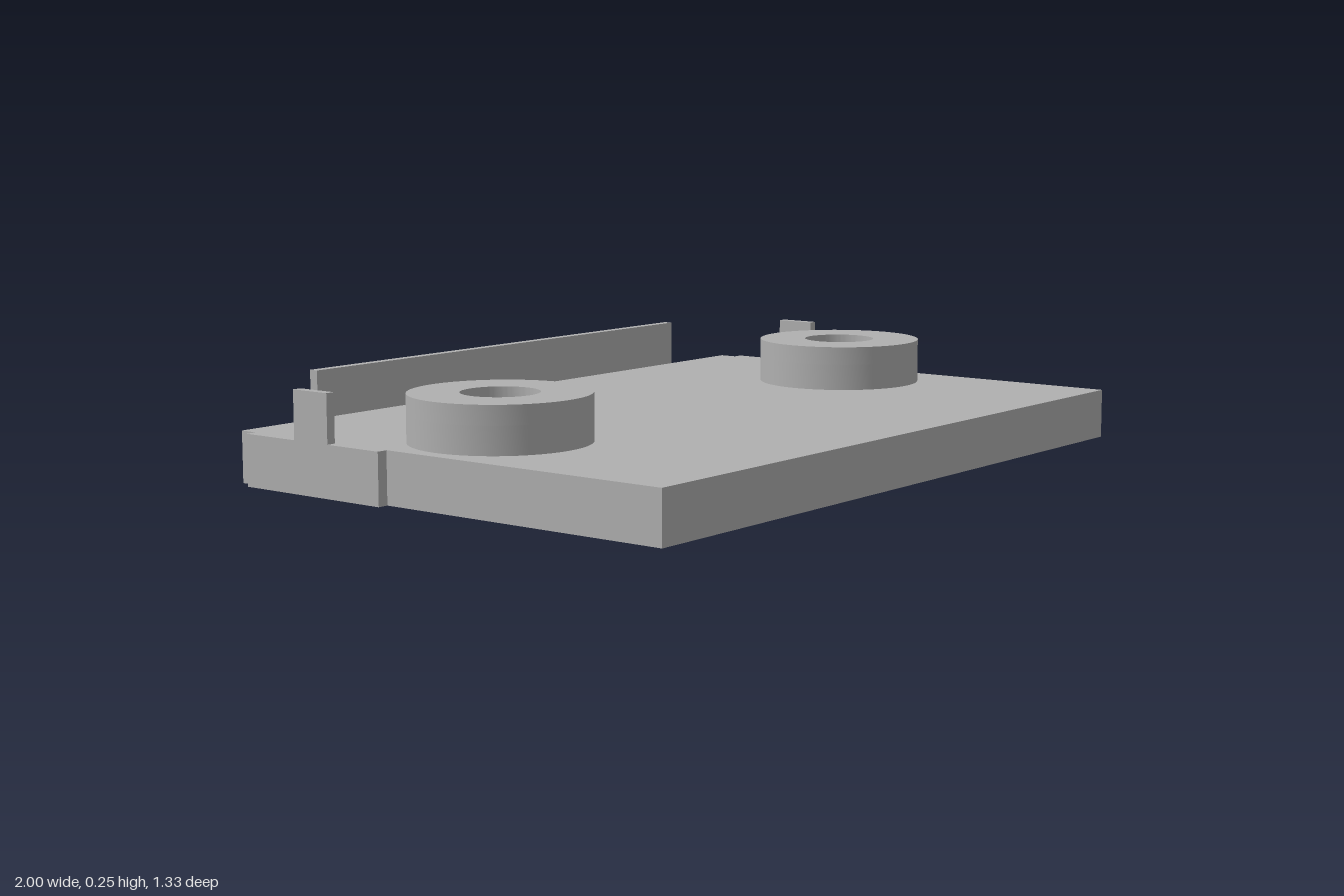
import * as THREE from 'three';
import { toCreasedNormals } from 'three/addons/utils/BufferGeometryUtils.js';

const PLATE_TOP = 0.13, POCKET_TOP = 0.2, BOSS_TOP = 0.248;
const BOSS_X = 0.71, BOSS_Z = -0.03;

export function createModel() {
  const group = new THREE.Group();
  const grey = new THREE.MeshStandardMaterial({ color: 0xb0b0b0 });
  grey.name = 'grey';

  const add = (name, geometry) => {
    const mesh = new THREE.Mesh(geometry, grey);
    mesh.name = name;
    group.add(mesh);
    return mesh;
  };

  // Plan shapes use (x, -z) and are extruded upward from y0 to y1
  const slab = (shape, y0, y1) => {
    const geometry = new THREE.ExtrudeGeometry(shape, { depth: y1 - y0, bevelEnabled: false, curveSegments: 48 });
    geometry.rotateX(-Math.PI / 2).translate(0, y0, 0);
    return toCreasedNormals(geometry, 0.5);
  };
  const circle = (path, x, z, r) => path.absarc(x, -z, r, 0, Math.PI * 2);
  const hexagon = (x, z, r) => {
    const points = [];
    for (let i = 0; i < 6; i++) {
      const a = Math.PI / 6 + i * Math.PI / 3;
      points.push(new THREE.Vector2(x + r * Math.cos(a), -z + r * Math.sin(a)));
    }
    return new THREE.Path(points);
  };
  const box = (name, x0, x1, y0, y1, z0, z1) => {
    const geometry = new THREE.BoxGeometry(x1 - x0, y1 - y0, z1 - z0);
    geometry.translate((x0 + x1) / 2, (y0 + y1) / 2, (z0 + z1) / 2);
    return add(name, geometry);
  };

  // Base plate with stepped side ears and hexagonal nut pockets
  const half = [[0.972, 0.665], [0.972, -0.148], [1, -0.148], [1, -0.593], [0.972, -0.593], [0.972, -0.642]];
  const outline = [...half, ...half.map(([x, z]) => [-x, z]).reverse()];
  const plate = new THREE.Shape(outline.map(([x, z]) => new THREE.Vector2(x, -z)));
  for (const s of [-1, 1]) plate.holes.push(hexagon(s * BOSS_X, BOSS_Z, 0.19));
  add('basePlate', slab(plate, 0, PLATE_TOP));

  // Back lip
  box('backLip', -0.72, 0.72, 0, 0.252, -0.667, -0.642);

  for (const [s, side] of [[-1, 'right'], [1, 'left']]) {
    // Round boss: hexagonal pocket below, bolt hole through the cap
    const wall = circle(new THREE.Shape(), s * BOSS_X, BOSS_Z, 0.222);
    wall.holes.push(hexagon(s * BOSS_X, BOSS_Z, 0.19));
    add(side + 'BossWall', slab(wall, PLATE_TOP, POCKET_TOP));

    const cap = circle(new THREE.Shape(), s * BOSS_X, BOSS_Z, 0.222);
    cap.holes.push(circle(new THREE.Path(), s * BOSS_X, BOSS_Z, 0.096));
    add(side + 'BossCap', slab(cap, POCKET_TOP, BOSS_TOP));

    // Upright side tab
    const [x0, x1] = s > 0 ? [0.976, 1] : [-1, -0.976];
    box(side + 'Tab', x0, x1, PLATE_TOP, 0.252, -0.427, -0.314);
  }
  return group;
}
